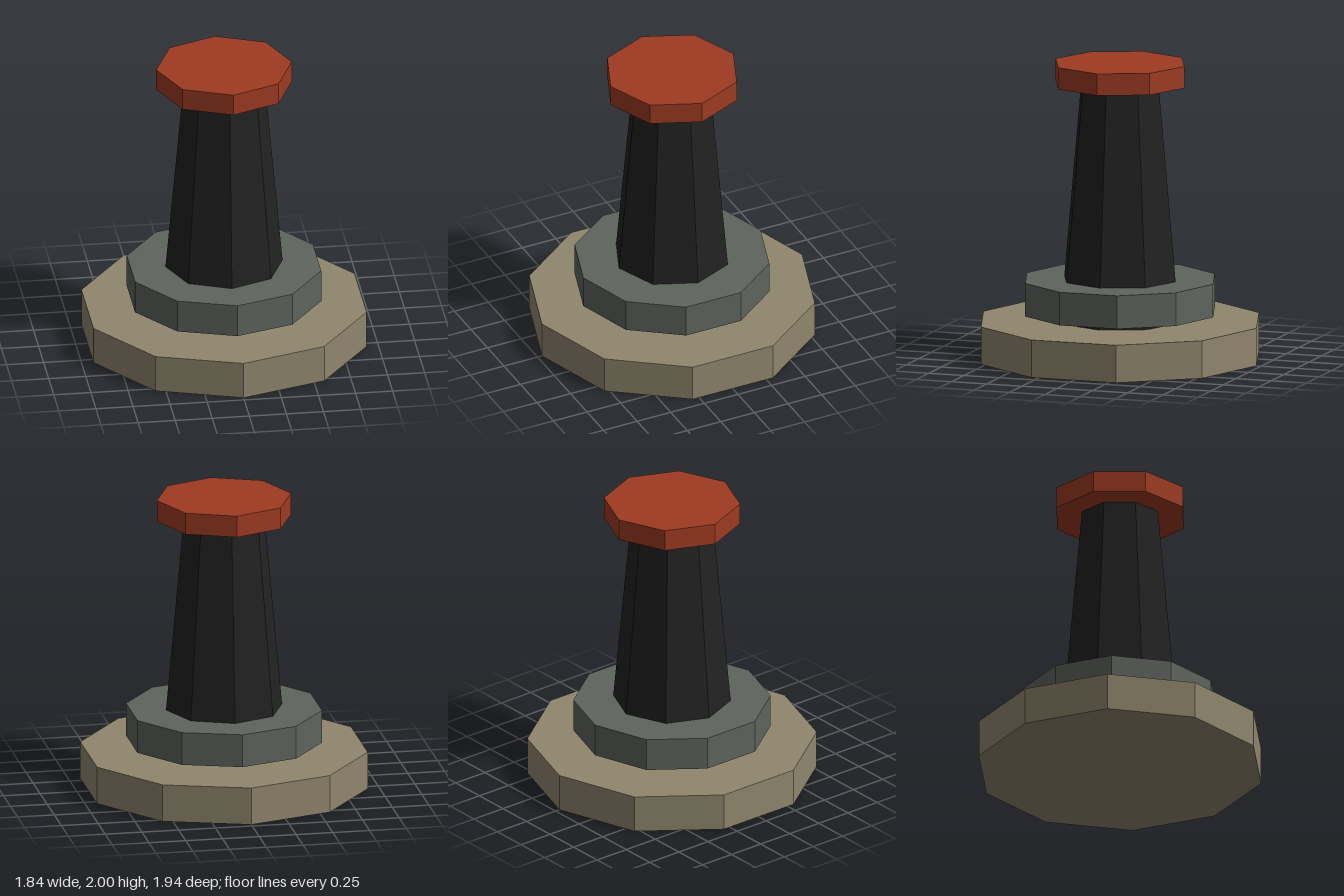
import * as THREE from 'three';

const flat = (name, color) => {
  const material = new THREE.MeshStandardMaterial({ color, flatShading: true });
  material.name = name;
  return material;
};

export function createModel() {
  const group = new THREE.Group();
  group.name = 'bollard';

  const stone = flat('sandy stone', 0x8f866c);
  const grey = flat('grey metal', 0x5f645e);
  const black = flat('black iron', 0x222222);
  const red = flat('rust red', 0x9e3b22);

  // Faceted drum standing between two heights, with a corner facing the front
  const drum = (name, material, sides, y0, y1, rBottom, rTop = rBottom) => {
    const geometry = new THREE.CylinderGeometry(rTop, rBottom, y1 - y0, sides);
    const mesh = new THREE.Mesh(geometry, material);
    mesh.name = name;
    mesh.position.y = (y0 + y1) / 2;
    group.add(mesh);
  };

  drum('base', stone, 10, 0, 0.255, 0.968);
  drum('column', black, 8, 0.255, 1.853, 0.42, 0.275);
  drum('collar', grey, 10, 0.31, 0.535, 0.66);
  drum('cap', red, 8, 1.853, 2, 0.457);

  return group;
}
